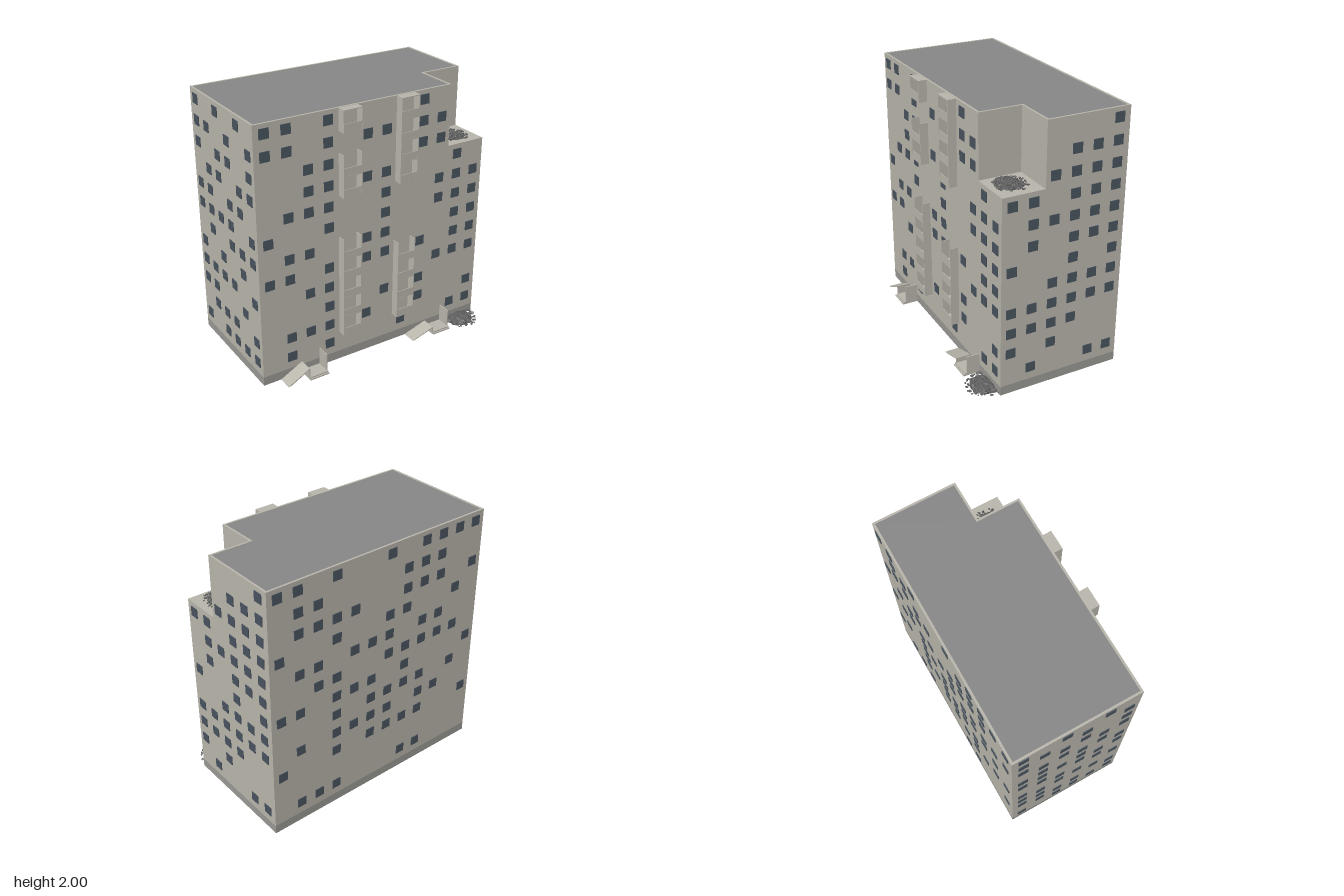
import * as THREE from 'three';
import { mergeGeometries } from 'three/addons/utils/BufferGeometryUtils.js';

const mat = (color) => new THREE.MeshStandardMaterial({ color, flatShading: true, side: THREE.DoubleSide });
const concrete = mat(0xbab7ad), plinthMat = mat(0x9b9a95), roofMat = mat(0x888888);
const glass = mat(0x4a5560), rubbleMat = mat(0x606060), stairGlass = mat(0xa9b8b0);

const X = 0.96, BACK = -0.575, FRONT = 0.387, NX = 0.635, NZ = 0.063, TERRACE = 1.525;
const rowY = (r) => 1.93 - 0.16 * r;

function add(parent, name, geometry, material) {
  const mesh = new THREE.Mesh(geometry, material);
  mesh.name = name;
  parent.add(mesh);
  return mesh;
}

// Box given by its limits on each axis
function box(x0, x1, y0, y1, z0, z1) {
  return new THREE.BoxGeometry(x1 - x0, y1 - y0, z1 - z0)
    .translate((x0 + x1) / 2, (y0 + y1) / 2, (z0 + z1) / 2);
}

// Floor outlines, inset by t; shape y is -z
const toShape = (pts, C = THREE.Shape) => new C(pts.map(([x, z]) => new THREE.Vector2(x, -z)));
const fullPlan = (t) => [[-X + t, BACK + t], [X - t, BACK + t], [X - t, FRONT - t], [-X + t, FRONT - t]];
const notchedPlan = (t) => [[-X + t, BACK + t], [X - t, BACK + t], [X - t, NZ - t], [NX - t, NZ - t],
  [NX - t, FRONT - t], [-X + t, FRONT - t]];

function slab(plan, inset, y0, y1, hollow = 0) {
  const shape = toShape(plan(inset));
  if (hollow) shape.holes.push(toShape(plan(hollow), THREE.Path));
  return new THREE.ExtrudeGeometry(shape, { depth: y1 - y0, bevelEnabled: false })
    .rotateX(-Math.PI / 2).translate(0, y0, 0);
}

// Window columns, one string per column; each letter a..l is a floor counted from the top
const frontCols = ['abfh', 'abeghkl', 'cdegik', 'abcdefhijkl', '', 'bdghk', 'bdefghj', 'l', 'abchjk', 'bcefi', 'defghi' + 'l', 'efghikl'];
const backCols = ['acgj', 'adfh', 'abcefi', 'abcefhijl', 'bcdfghjl', 'adefhij', 'eghij', 'cegi', 'acdfghijl', 'bcefl', 'abcegil', 'adgj'];
const rightCols = ['abcdefghil', 'bcdefhil', 'bcdefghij', 'cehijk', 'defijl', 'dgijk'];
const leftCols = ['abcefhijl', 'bdefgijk', 'acdfhikl', 'bcefgikl', 'adeghjl', 'bcdfgikl'];

function windows(cols, place) {
  const parts = [];
  cols.forEach((floors, c) => {
    for (const f of floors) {
      const [x, z, sideways] = place(c);
      const w = sideways ? 0.006 : 0.037, d = sideways ? 0.037 : 0.006, y = rowY(f.charCodeAt(0) - 97);
      parts.push(box(x - w, x + w, y - 0.037, y + 0.037, z - d, z + d));
    }
  });
  return mergeGeometries(parts);
}

// One stack of loggias: side cheeks, low parapet and floor per storey
function balconyStack(cx, first, last, roofed) {
  const g = new THREE.Group();
  g.name = 'balconyStack';
  const w = 0.076, t = 0.005, z1 = 0.452;
  const top = first === 0 ? 1.998 : rowY(first) + 0.065;
  const bottom = rowY(last) - 0.095;
  for (const s of [-1, 1]) {
    const x = cx + s * (w - t / 2);
    add(g, 'balconySide', box(x - t / 2, x + t / 2, bottom, top, FRONT, z1), concrete);
  }
  for (let r = first; r <= last; r++) {
    const y = rowY(r) - 0.095;
    add(g, 'balconyFloor', box(cx - w + t, cx + w - t, y, y + 0.006, FRONT, z1), concrete);
    add(g, 'balconyParapet', box(cx - w + t, cx + w - t, y, y + 0.065, z1 - t, z1 - 0.0005), concrete);
  }
  if (roofed) add(g, 'balconyRoof', box(cx - w, cx + w, top - 0.006, top, FRONT, z1), concrete);
  return g;
}

// Porch with a tall screen, a low cheek and a sloping ramp plate
function entrance(x0, rampX, rampH) {
  const g = new THREE.Group();
  g.name = 'entrance';
  const x1 = x0 + 0.16, t = 0.008;
  add(g, 'porchFloor', box(x0, x1, 0.005, 0.02, FRONT, 0.505), concrete);
  add(g, 'porchStep', box(x0, x1, 0, 0.01, FRONT, 0.515), concrete);
  add(g, 'porchScreen', box(x1 - t, x1, 0, 0.157, FRONT, 0.488), concrete);
  add(g, 'porchCheek', box(x0, x0 + t, 0, rampH, FRONT, 0.498), concrete);
  const ramp = new THREE.Shape([[rampX, 0], [rampX + 0.02, 0], [x0, rampH - 0.01], [x0, rampH]]
    .map(([x, y]) => new THREE.Vector2(x, y)));
  add(g, 'ramp', new THREE.ExtrudeGeometry(ramp, { depth: 0.498 - FRONT, bevelEnabled: false })
    .translate(0, 0, FRONT), concrete);
  return g;
}

// Heap of debris: a rough mound scattered with tilted chips
function rubble(cx, y, cz, radius, height, seed) {
  const rand = () => (seed = (seed * 16807) % 2147483647) / 2147483647;
  const parts = [];
  const mound = new THREE.SphereGeometry(1, 22, 6, 0, Math.PI * 2, 0, Math.PI / 2).toNonIndexed();
  const p = mound.attributes.position;
  for (let i = 0; i < p.count; i++) {
    const [a, b, c] = [p.getX(i), p.getY(i), p.getZ(i)];
    const bump = 0.78 + 0.12 * Math.sin(9 * a + 4 * c) * Math.cos(8 * c - 3 * a);
    p.setXYZ(i, a * radius * bump, b * height * bump, c * radius * bump);
  }
  parts.push(mound);
  for (let i = 0; i < 170; i++) {
    const a = rand() * Math.PI * 2, d = Math.sqrt(rand()), s = 0.004 + 0.007 * rand();
    const chip = new THREE.DodecahedronGeometry(s)
      .scale(1.3, 0.6, 0.9).rotateX(rand() * 0.8).rotateY(rand() * 6)
      .translate(Math.cos(a) * d * radius, s * 0.6 + height * 0.72 * Math.sqrt(1 - d * d) * (0.7 + 0.3 * rand()),
        Math.sin(a) * d * radius);
    parts.push(chip);
  }
  parts.forEach((q) => q.computeVertexNormals());
  return mergeGeometries(parts).translate(cx, y, cz);
}

export function createModel() {
  const model = new THREE.Group();
  model.name = 'apartmentBlock';

  // Hollow shell, open underneath, with one upper corner missing
  add(model, 'plinth', slab(fullPlan, 0, 0, 0.07, 0.012), plinthMat);
  add(model, 'lowerWalls', slab(fullPlan, 0, 0.07, TERRACE, 0.012), concrete);
  add(model, 'upperWalls', slab(notchedPlan, 0, TERRACE, 2, 0.016), concrete);
  add(model, 'roof', slab(notchedPlan, 0.016, 1.985, 1.996), roofMat);
  add(model, 'terraceFloor', box(NX - 0.01, X - 0.001, TERRACE - 0.01, TERRACE, NZ - 0.01, FRONT - 0.001), concrete);

  // Windows on all four sides
  const colX = (c) => -0.88 + 0.16 * c, colZ = (c) => -0.49 + 0.16 * c;
  add(model, 'frontWindows', windows(frontCols, (c) => [colX(c), FRONT, false]), glass);
  add(model, 'backWindows', windows(backCols, (c) => [colX(c), BACK, false]), glass);
  add(model, 'leftWindows', windows(rightCols, (c) => [X, colZ(c), true]), glass);
  add(model, 'rightWindows', windows(leftCols, (c) => [-X, colZ(c), true]), glass);

  // Balcony stacks: centre, first and last floor, roofed
  for (const s of [[-0.24, 0, 0, true], [-0.24, 2, 3, false], [-0.24, 6, 10, false],
    [0.236, 0, 3, true], [0.236, 7, 10, false]]) model.add(balconyStack(...s));

  // Entrances, with stairwell glazing behind them
  model.add(entrance(-0.645, -0.82, 0.092), entrance(0.478, 0.29, 0.06));
  for (const x of [-0.56, 0.56]) {
    add(model, 'stairwellGlazing', box(x - 0.075, x + 0.075, 0.03, 1.9, FRONT - 0.018, FRONT - 0.013), stairGlass);
  }

  // Debris on the terrace and at the foot of the broken corner
  add(model, 'terraceRubble', rubble(0.79, TERRACE, 0.235, 0.12, 0.028, 11), rubbleMat);
  add(model, 'groundRubble', rubble(0.8, 0, 0.425, 0.145, 0.05, 47), rubbleMat);
  return model;
}
